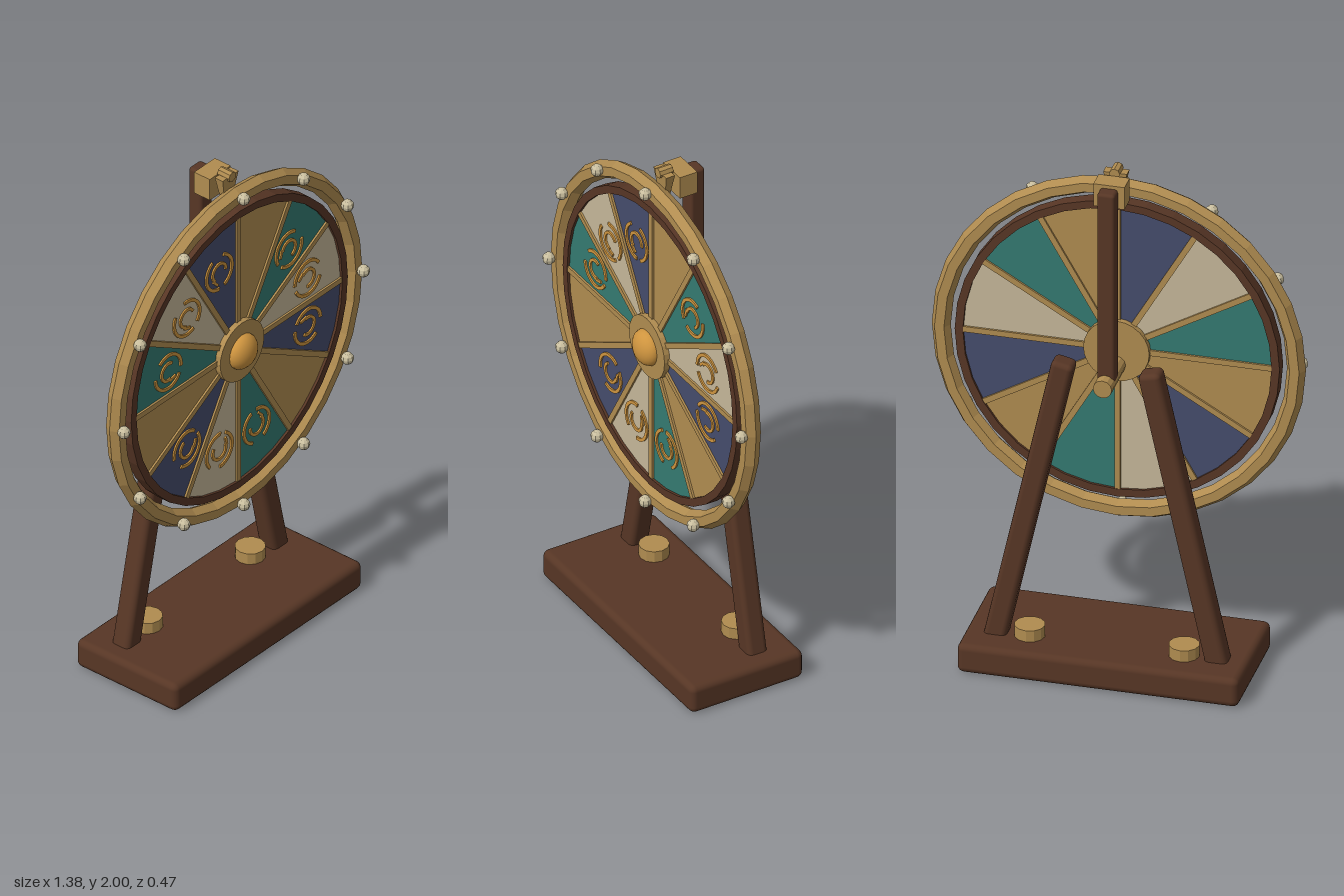
import * as THREE from 'three';
import { RoundedBoxGeometry } from 'three/addons/geometries/RoundedBoxGeometry.js';

const mat = (name, color, flatShading = false) => {
  const m = new THREE.MeshStandardMaterial({ color, flatShading });
  m.name = name;
  return m;
};

export function createModel() {
  const wood = mat('dark wood', 0x573625);
  const brass = mat('brass', 0xb08c50, true);
  const gold = mat('gold', 0xcf953f);
  const cream = mat('cream', 0xc5b799);
  const teal = mat('teal', 0x347a71);
  const navy = mat('navy', 0x454c6c);
  const pearl = mat('pearl', 0xcabf9f, true);

  const model = new THREE.Group();
  model.name = 'prizeWheel';
  const add = (parent, name, geo, material, x = 0, y = 0, z = 0) => {
    const m = new THREE.Mesh(geo, material);
    m.name = name;
    m.position.set(x, y, z);
    parent.add(m);
    return m;
  };

  // Flat sector of a ring, extruded along z
  const sector = (r0, r1, a0, a1, depth, segs) => {
    const s = new THREE.Shape();
    s.absarc(0, 0, r1, a0, a1, false);
    s.absarc(0, 0, r0, a1, a0, true);
    return new THREE.ExtrudeGeometry(s, { depth, bevelEnabled: false, curveSegments: segs });
  };

  // Base and stand
  add(model, 'base', new RoundedBoxGeometry(1.04, 0.115, 0.47, 2, 0.025), wood, 0, 0.0575, -0.005);
  for (const side of [-1, 1]) {
    const foot = new THREE.Vector2(0.415, 0.08), top = new THREE.Vector2(0.158, 1.25);
    const leg = add(model, 'leg', new RoundedBoxGeometry(0.083, foot.distanceTo(top), 0.08, 2, 0.02), wood,
      side * (foot.x + top.x) / 2, (foot.y + top.y) / 2, -0.093);
    leg.rotation.z = side * Math.atan2(foot.x - top.x, top.y - foot.y);
    add(model, 'footBolt', new THREE.CylinderGeometry(0.056, 0.056, 0.06, 12), brass, side * 0.285, 0.13, -0.1);
  }
  add(model, 'backPost', new RoundedBoxGeometry(0.066, 0.77, 0.06, 2, 0.012), wood, 0, 1.575, -0.092);
  add(model, 'axle', new THREE.CylinderGeometry(0.035, 0.035, 0.23, 12), brass, 0, 1.19, -0.05)
    .rotation.x = Math.PI / 2;

  // Pointer at the top
  add(model, 'pointerBlock', new THREE.BoxGeometry(0.115, 0.09, 0.073), brass, 0, 1.928, -0.037);
  const flap = new THREE.CylinderGeometry(0.062, 0.014, 0.155, 4).rotateY(Math.PI / 4).scale(1, 1, 0.42);
  add(model, 'pointer', flap, brass, 0, 1.902, 0.03);
  add(model, 'pointerPin', new THREE.CylinderGeometry(0.02, 0.02, 0.055, 8), brass, 0, 1.98, 0.03)
    .rotation.x = Math.PI / 2;

  // Wheel
  const wheel = new THREE.Group();
  wheel.name = 'wheel';
  wheel.position.set(0, 1.245, 0.065);
  model.add(wheel);
  add(wheel, 'outerRing', new THREE.TorusGeometry(0.656, 0.035, 6, 32), brass);

  const rim = new THREE.Shape().absarc(0, 0, 0.6, 0, Math.PI * 2, false);
  rim.holes.push(new THREE.Path().absarc(0, 0, 0.57, 0, Math.PI * 2, true));
  add(wheel, 'innerRim', new THREE.ExtrudeGeometry(rim, { depth: 0.05, bevelEnabled: false, curveSegments: 18 }),
    wood, 0, 0, -0.025);

  const colours = [cream, teal, brass, navy];
  const step = Math.PI / 6;
  for (let i = 0; i < 12; i++) {
    const a = i * step, mid = a + step / 2;
    const panelColour = colours[i % 4];
    add(wheel, 'panel', sector(0.05, 0.58, a, a + step, 0.03, 4), panelColour, 0, 0, -0.015);

    // Divider spoke and rim stud
    const spoke = add(wheel, 'spoke', new THREE.BoxGeometry(0.5, 0.022, 0.046), brass,
      0.335 * Math.cos(a), 0.335 * Math.sin(a), 0);
    spoke.rotation.z = a;
    add(wheel, 'stud', new THREE.SphereGeometry(0.024, 8, 6), pearl,
      0.663 * Math.cos(a), 0.663 * Math.sin(a), 0.045);

    // Swirl ornament on the coloured panels
    if (panelColour !== brass) {
      const swirl = new THREE.Group();
      swirl.name = 'swirl';
      swirl.position.set(0.4 * Math.cos(mid), 0.4 * Math.sin(mid), 0.015);
      swirl.rotation.z = mid;
      wheel.add(swirl);
      const arcs = [[0.064, 0.077, 0.3, 2.9], [0.064, 0.077, 3.3, 5.7], [0.03, 0.042, -1.9, 2.2]];
      for (const [r0, r1, a0, a1] of arcs) add(swirl, 'swirlArc', sector(r0, r1, a0, a1, 0.006, 14), gold);
      add(swirl, 'swirlTail', new THREE.BoxGeometry(0.035, 0.011, 0.006), gold, -0.032, 0.03, 0.003)
        .rotation.z = 0.5;
    }
  }

  // Hub with a domed cap
  add(wheel, 'hub', new THREE.CylinderGeometry(0.122, 0.122, 0.075, 24), brass, 0, 0, 0.0)
    .rotation.x = Math.PI / 2;
  const dome = new THREE.SphereGeometry(0.07, 20, 8, 0, Math.PI * 2, 0, Math.PI / 2);
  dome.scale(1, 0.68, 1).rotateX(Math.PI / 2);
  add(wheel, 'hubCap', dome, gold, 0, 0, 0.0365);

  return model;
}
